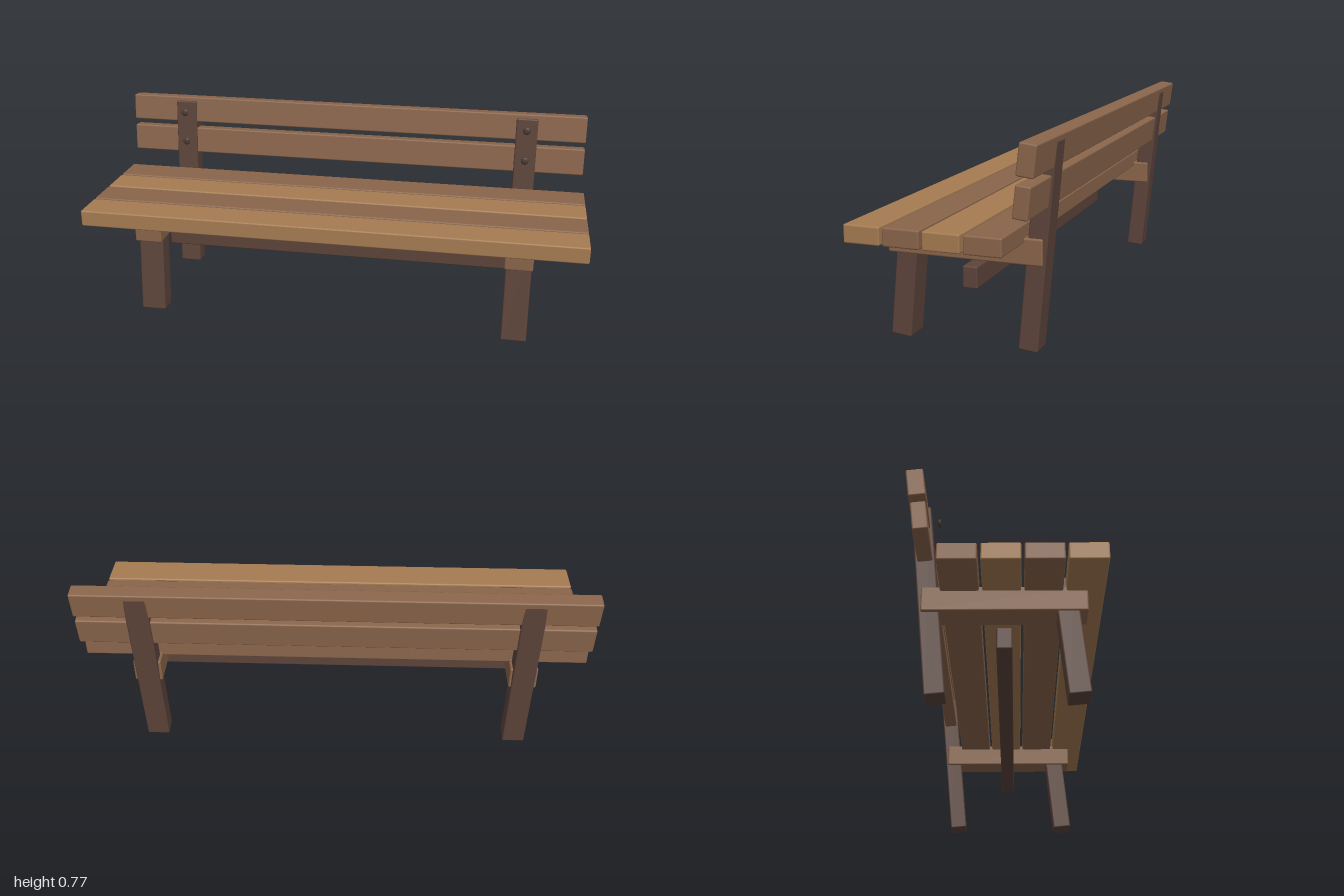
import * as THREE from 'three';
import { RoundedBoxGeometry } from 'three/addons/geometries/RoundedBoxGeometry.js';

function material(name, color) {
  const m = new THREE.MeshStandardMaterial({ color });
  m.name = name;
  return m;
}

export function createModel() {
  const bench = new THREE.Group();
  bench.name = 'bench';

  const lightWood = material('light wood', 0xa67c52);
  const midWood = material('medium wood', 0x8a654b);
  const darkWood = material('dark wood', 0x5d443a);
  const boltMetal = material('bolt metal', 0x4c3a34);

  // Softly bevelled timber, optionally leaning backwards
  function timber(name, size, position, mat, lean = 0) {
    const mesh = new THREE.Mesh(new RoundedBoxGeometry(...size, 2, 0.006), mat);
    mesh.name = name;
    mesh.position.set(...position);
    mesh.rotation.x = -lean;
    bench.add(mesh);
  }

  // Seat slats, front to back
  [0.2775, 0.132, -0.0135, -0.16].forEach((z, i) => {
    timber('seatSlat' + (i + 1), [2, 0.066, 0.135], [0, 0.427, z], i % 2 ? midWood : lightWood);
  });

  // Backrest slats
  timber('upperBackSlat', [1.98, 0.11, 0.061], [0, 0.713, -0.3065], midWood, 0.12);
  timber('lowerBackSlat', [1.98, 0.112, 0.054], [0, 0.577, -0.29], midWood, 0.11);

  // Long stretcher between the legs
  timber('stretcher', [1.5, 0.082, 0.056], [0, 0.236, -0.005], darkWood);

  const boltGeometry = new THREE.SphereGeometry(0.016, 16, 12);
  for (const [side, x] of [['left', 0.745], ['right', -0.745]]) {
    // Legs, rear post and seat bearer
    timber(side + 'FrontLeg', [0.1, 0.447, 0.078], [x, 0.229, 0.2255], darkWood, 0.1);
    timber(side + 'RearPost', [0.09, 0.748, 0.071], [x, 0.379, -0.271], darkWood, 0.0935);
    timber(side + 'SeatBearer', [0.11, 0.094, 0.578], [x, 0.364, -0.004], midWood);

    // Domed bolt heads in front of the posts
    for (const y of [0.711, 0.579]) {
      const bolt = new THREE.Mesh(boltGeometry, boltMetal);
      bolt.name = side + 'Bolt';
      bolt.position.set(x, y, -0.241);
      bolt.scale.z = 0.42;
      bench.add(bolt);
    }
  }
  return bench;
}
